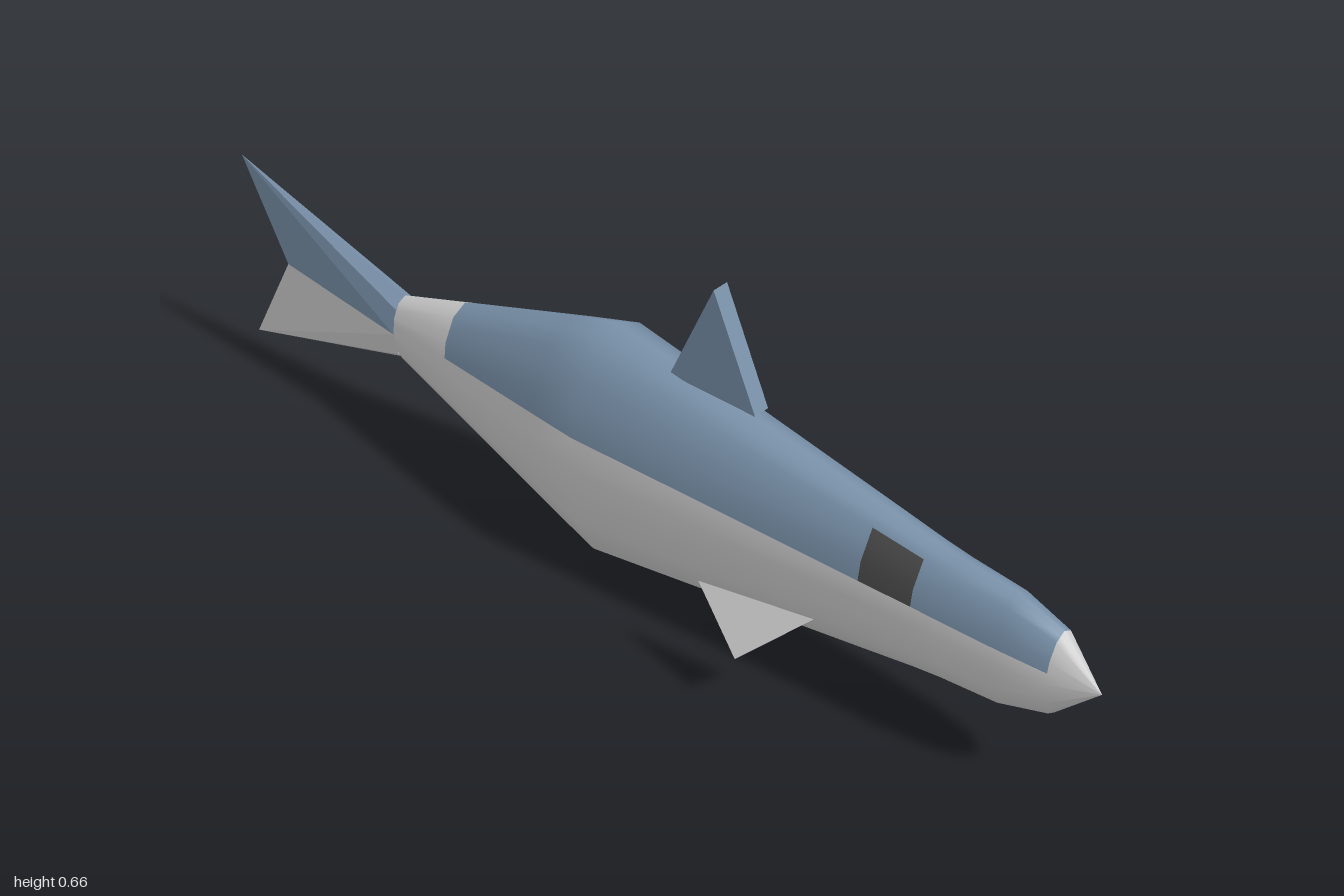
import * as THREE from 'three';

const grey = new THREE.MeshStandardMaterial({ color: 0xcccccc, side: THREE.DoubleSide });
const blue = new THREE.MeshStandardMaterial({ color: 0x7890a8, side: THREE.DoubleSide });
const dark = new THREE.MeshStandardMaterial({ color: 0x484848, side: THREE.DoubleSide });
const MID = 0.25; // height of the body axis

// Body cross-sections: x, half height, half width
const SECTIONS = [
  [-0.56, 0.07, 0.035], [-0.4, 0.124, 0.062], [-0.13, 0.215, 0.108], [-0.03, 0.247, 0.124],
  [0.2, 0.209, 0.104], [0.56, 0.148, 0.074], [0.66, 0.131, 0.065], [0.71, 0.124, 0.062],
  [0.82, 0.115, 0.055], [0.91, 0.085, 0.04], [0.99, 0, 0],
];
const RING = 24; // a 12-sided ring with a point halfway along every side

function ringPoint([x, h, w], k) {
  const corner = (j) => new THREE.Vector3(x, MID + h * Math.cos(j * Math.PI / 6), w * Math.sin(j * Math.PI / 6));
  return corner(Math.floor(k / 2)).lerp(corner(Math.ceil(k / 2)), 0.5);
}

// Which coloured region a body quad belongs to
function region(s, k) {
  const fromTop = Math.min(k, RING - 1 - k);
  if (s === 5 && fromTop >= 2 && fromTop < 5) return 'eyePatches';
  return s >= 1 && s <= 8 && fromTop < 5 ? 'back' : 'belly';
}

function makeBody() {
  const points = [];
  const index = { back: [], belly: [], eyePatches: [] };
  SECTIONS.forEach((section, s) => {
    for (let k = 0; k < RING; k++) {
      points.push(ringPoint(section, k));
      if (s === SECTIONS.length - 1) continue;
      const a = s * RING + k, b = s * RING + (k + 1) % RING;
      index[region(s, k)].push(a, b, a + RING, b, b + RING, a + RING);
    }
  });
  // Smooth normals are found on the whole skin, then shared by its regions
  const skin = new THREE.BufferGeometry().setFromPoints(points);
  skin.setIndex([...index.back, ...index.belly, ...index.eyePatches]);
  skin.computeVertexNormals();
  const body = new THREE.Group();
  body.name = 'body';
  const colours = { back: blue, belly: grey, eyePatches: dark };
  for (const name in index) {
    const part = skin.clone();
    part.setIndex(index[name]);
    body.add(named(new THREE.Mesh(part, colours[name]), name));
  }
  return body;
}

function named(object, name) {
  object.name = name;
  return object;
}

// Flat-sided mesh from a list of triangles
function facets(triangles, material, name) {
  const geometry = new THREE.BufferGeometry().setFromPoints(
    triangles.flat().map((p) => new THREE.Vector3(...p)));
  geometry.computeVertexNormals();
  return named(new THREE.Mesh(geometry, material), name);
}

// One lobe of the forked tail, tapering to a thin trailing edge
function tailLobe(up, material, name) {
  const root = [-0.56, MID + up * 0.07, 0];
  const tip = [-1, MID + up * 0.203, 0];
  const notch = [-0.89, MID, 0];
  const triangles = [];
  for (const side of [1, -1]) {
    const flank = [-0.56, MID, side * 0.035];
    const shoulder = [-0.56, MID + up * 0.05, side * 0.025];
    for (const [a, b, c] of [[root, tip, shoulder], [shoulder, tip, flank], [flank, tip, notch]]) {
      triangles.push(up * side > 0 ? [a, b, c].reverse() : [a, b, c]);
    }
  }
  return facets(triangles, material, name);
}

function dorsalFin() {
  const outline = new THREE.Shape([
    new THREE.Vector2(0.108, 0.46), new THREE.Vector2(0.295, 0.46), new THREE.Vector2(0.2, 0.668),
  ]);
  const geometry = new THREE.ExtrudeGeometry(outline, { depth: 0.034, bevelEnabled: false });
  geometry.translate(0, 0, -0.017);
  return named(new THREE.Mesh(geometry, blue), 'dorsalFin');
}

// Thin triangular fin beside the body
function sideFin(side, name) {
  const corners = [[0.295, 0.195, side * 0.155], [0.41, 0.113, side * 0.194], [0.52, 0.22, side * 0.128]];
  return facets([side > 0 ? corners : corners.reverse()], grey, name);
}

export function createModel() {
  const fish = named(new THREE.Group(), 'fish');
  fish.add(
    makeBody(),
    tailLobe(1, blue, 'upperTailLobe'),
    tailLobe(-1, grey, 'lowerTailLobe'),
    dorsalFin(),
    sideFin(1, 'frontSideFin'),
    sideFin(-1, 'backSideFin'),
  );
  return fish;
}
